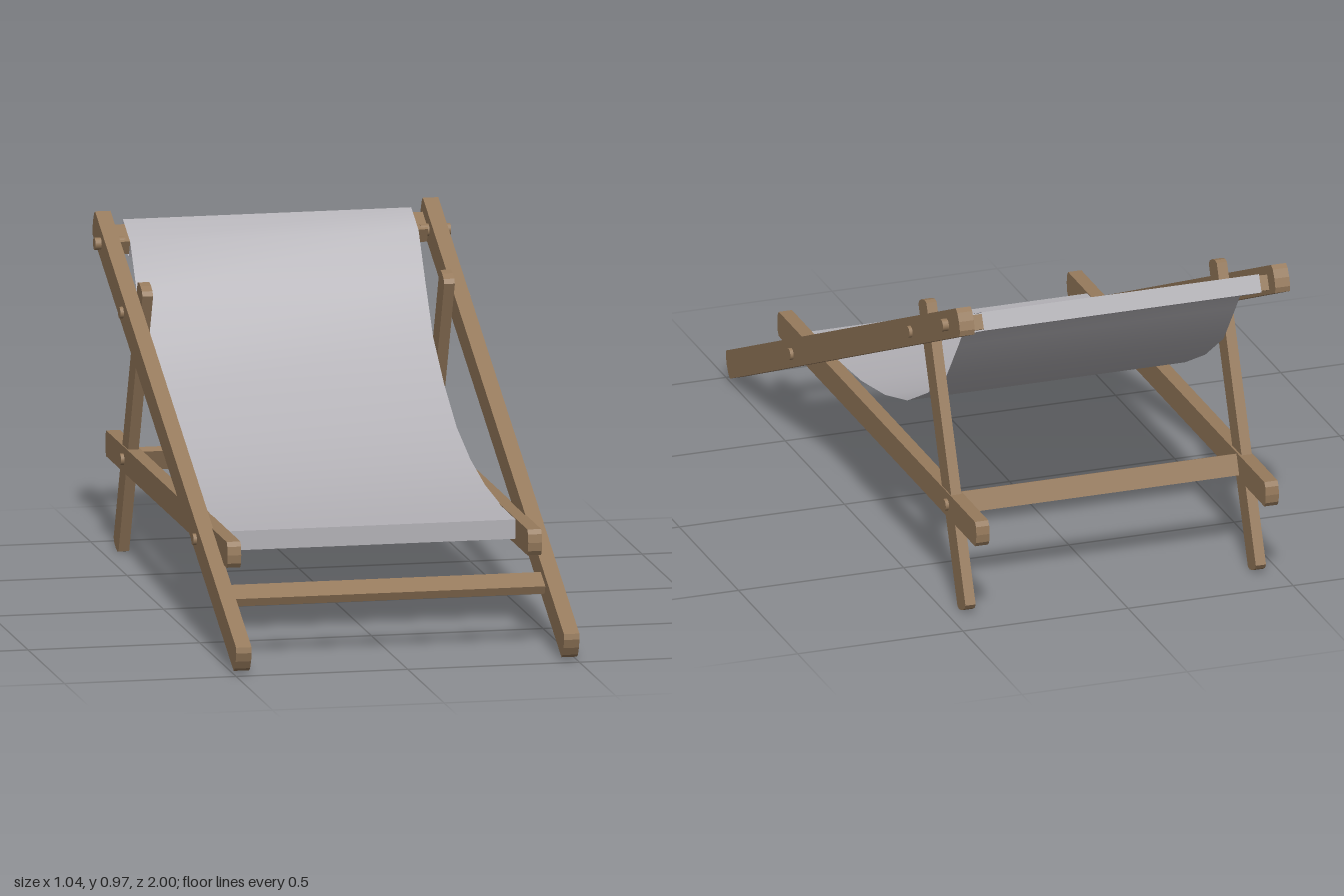
import * as THREE from 'three';

const wood = new THREE.MeshStandardMaterial({ color: 0x967a5c });
wood.name = 'wood';
const canvas = new THREE.MeshStandardMaterial({ color: 0xb3b1b6, side: THREE.DoubleSide });
canvas.name = 'canvas';

const SLOPE = Math.atan(0.4585); // lean of the long rails
const D = [Math.cos(SLOPE), -Math.sin(SLOPE)]; // down the rail, as [z, y]
const N = [Math.sin(SLOPE), Math.cos(SLOPE)]; // out of the rail, as [z, y]

export function createModel() {
  const group = new THREE.Group();

  function add(name, geometry, material) {
    const mesh = new THREE.Mesh(geometry, material);
    mesh.name = name;
    group.add(mesh);
    return mesh;
  }

  // Timber running from a to b ([z, y]) with slightly rounded ends, between x0 and x1
  function timber(name, a, b, half, x0, x1) {
    const dir = new THREE.Vector2(b[0] - a[0], b[1] - a[1]);
    const length = dir.length();
    dir.normalize();
    const outline = [];
    for (const end of [1, -1]) {
      for (const [bulge, side] of [[0, -1], [0.009, -0.65], [0.012, 0], [0.009, 0.65], [0, 1]]) {
        const u = length / 2 + end * (length / 2 + bulge);
        const v = end * side * half;
        outline.push(new THREE.Vector2(
          a[0] + dir.x * u - dir.y * v,
          a[1] + dir.y * u + dir.x * v));
      }
    }
    const geo = new THREE.ExtrudeGeometry(new THREE.Shape(outline), { depth: x1 - x0, bevelEnabled: false });
    geo.rotateY(-Math.PI / 2);
    geo.translate(x1, 0, 0);
    add(name, geo, wood);
  }

  // Board across the chair; angle tilts its width away from the z axis
  function crossBar(name, z, y, length, width, thick, angle) {
    const bar = add(name, new THREE.BoxGeometry(length, thick, width), wood);
    bar.position.set(0, y, z);
    bar.rotation.x = angle;
  }

  // Cloth strip swept across x along a [z, y] profile
  function cloth(name, profile, sharp) {
    const half = 0.42, pos = [], index = [];
    profile.forEach(([z, y], i) => {
      pos.push(-half, y, z, half, y, z);
      if (i) {
        const k = 2 * i;
        index.push(k - 2, k, k - 1, k - 1, k, k + 1);
      }
    });
    let geo = new THREE.BufferGeometry();
    geo.setAttribute('position', new THREE.Float32BufferAttribute(pos, 3));
    geo.setIndex(index);
    if (sharp) geo = geo.toNonIndexed();
    geo.computeVertexNormals();
    add(name, geo, canvas);
  }

  // Side frames
  for (const s of [1, -1]) {
    const span = (a, b) => (s > 0 ? [a, b] : [-b, -a]);
    timber('longRail', [0.983, 0.046], [-0.956, 0.935], 0.0405, ...span(0.455, 0.5));
    timber('baseRail', [0.672, 0.287], [-0.985, 0.287], 0.0375, ...span(0.418, 0.458));
    timber('backLeg', [-0.533, 0.822], [-0.863, 0.017], 0.0365, ...span(0.424, 0.455));
    // Round pegs at the joints: z, y, outer reach, radius
    for (const [z, y, reach, r] of [
      [0.445, 0.29, 0.51, 0.017], [-0.56, 0.752, 0.51, 0.017],
      [-0.865, 0.893, 0.518, 0.018], [-0.75, 0.287, 0.468, 0.017],
    ]) {
      const peg = add('peg', new THREE.CylinderGeometry(r, r, reach - 0.43, 16), wood);
      peg.rotation.z = Math.PI / 2;
      peg.position.set(s * (reach + 0.43) / 2, y, z);
    }
  }

  // Bars joining the two sides
  const top = [-0.89, 0.8975];
  crossBar('frontCrossBar', 0.708, 0.175, 0.91, 0.07, 0.026, SLOPE);
  crossBar('topBar', top[0], top[1], 0.9, 0.085, 0.044, SLOPE);
  crossBar('seatBar', 0.445, 0.292, 0.84, 0.115, 0.045, 0);
  crossBar('rearCrossBar', -0.75, 0.287, 0.86, 0.062, 0.025, -Math.atan2(0.468, 0.19));

  // Cloth: sagging seat, plus the sleeves around the top and seat bars
  const around = (a, b) => [top[0] + a * D[0] + b * N[0], top[1] + a * D[1] + b * N[1]];
  cloth('slingSeat', [
    around(-0.061, 0.026), around(0.05, 0.026), [-0.74, 0.768], [-0.635, 0.63],
    [-0.48, 0.52], [-0.31, 0.43], [-0.12, 0.373], [0.08, 0.338], [0.3, 0.323], [0.51, 0.322],
  ], false);
  cloth('topSleeve', [
    around(-0.061, 0.026), around(-0.061, -0.027), around(0.05, -0.027), around(0.05, 0.026),
  ], true);
  cloth('seatSleeve', [[0.51, 0.322], [0.51, 0.266], [0.38, 0.266], [0.38, 0.322]], true);

  return group;
}
